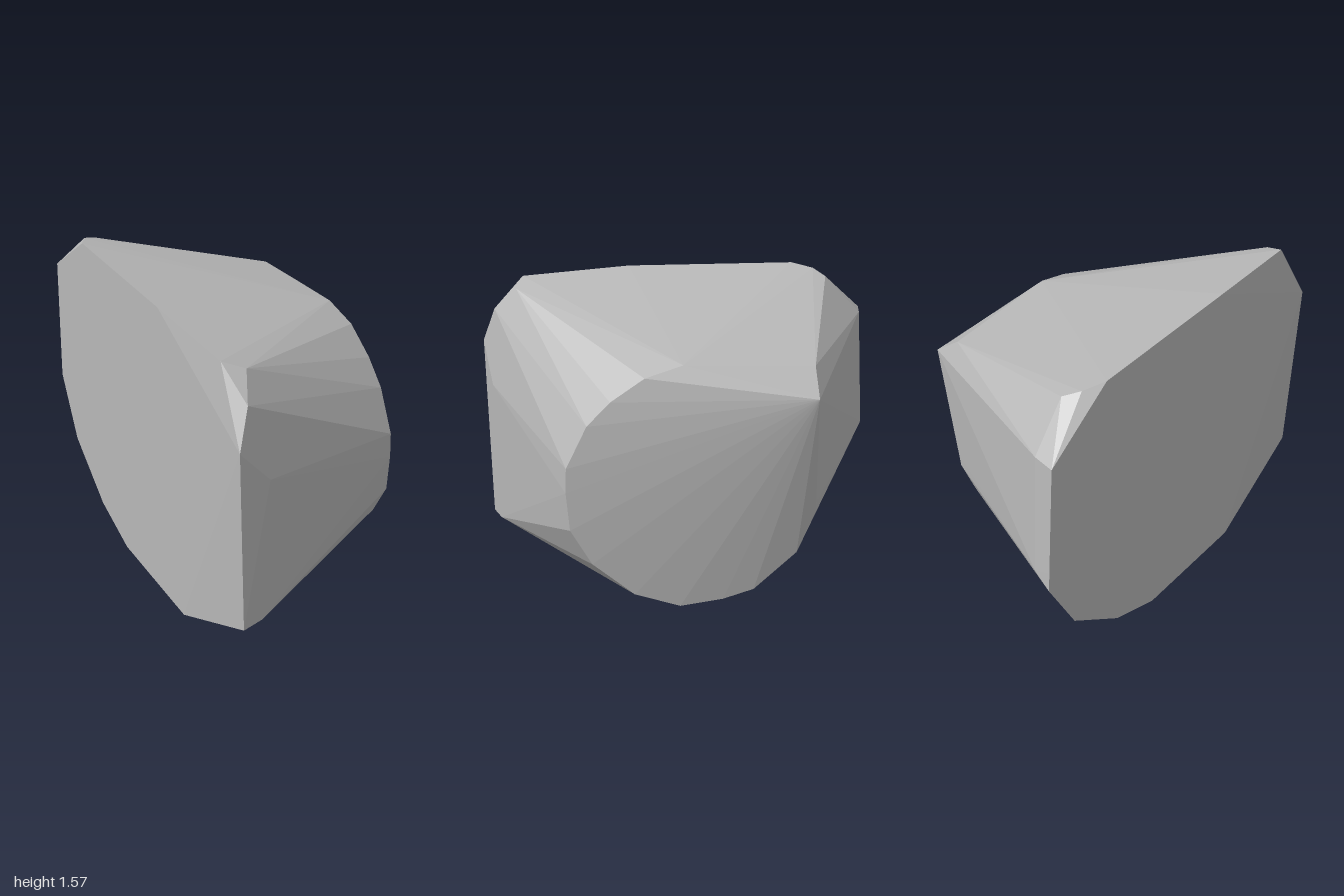
import * as THREE from 'three';
import { ConvexGeometry } from 'three/addons/geometries/ConvexGeometry.js';

// Small round end: [z, y] outline with its x
const endX = 0.42;
const endOutline = [
  [0.31, 1.285], [0.47, 1.18], [0.58, 1.07], [0.68, 0.87], [0.685, 0.75],
  [0.67, 0.56], [0.57, 0.38], [0.37, 0.205], [0.15, 0.125], [-0.06, 0.145],
  [-0.21, 0.185], [-0.42, 0.365], [-0.51, 0.57], [-0.515, 0.63],
];

// Broad flat end: [x, y, z] corners
const broadOutline = [
  [-0.565, 1.575, 0.25], [-0.54, 1.55, 0.79], [-0.565, 1.22, 1], [-0.54, 0.29, 0.99],
  [-0.56, 0.005, 0.43], [-0.56, 0.005, -0.22], [-0.56, 0.11, -0.51], [-0.555, 0.34, -0.83],
  [-0.55, 0.65, -1], [-0.55, 0.75, -0.995], [-0.55, 1.31, -0.965], [-0.555, 1.56, -0.6],
];

// Bevel corners just inside the broad end, the tip and the bulge below the back
const bevels = [
  [-0.495, 1.4, 0.94], [-0.44, 1.51, 0.83], [-0.4, 1.03, 0.97], [-0.43, 0.29, 0.96],
  [-0.5, 1.54, -0.7], [-0.43, 1.51, -0.75], [-0.44, 1.31, -0.94], [-0.45, 0.7, -0.975],
  [-0.1, 0.2, -0.57],
  [0.41, 1.335, 0.13], [0.41, 1.3, -0.49], [0.56, 1.185, -0.475],
];

export function createModel() {
  const group = new THREE.Group();
  group.name = 'facetedBlock';

  const stone = new THREE.MeshStandardMaterial({ color: 0xb8b8b8 });
  stone.name = 'stone grey';

  // One convex hull wraps both ends and the bevels
  const points = [
    ...endOutline.map(([z, y]) => new THREE.Vector3(endX, y, z)),
    ...[...broadOutline, ...bevels].map((p) => new THREE.Vector3(...p)),
  ];
  const body = new THREE.Mesh(new ConvexGeometry(points), stone);
  body.name = 'body';
  body.position.y = -0.005;
  group.add(body);
  return group;
}
